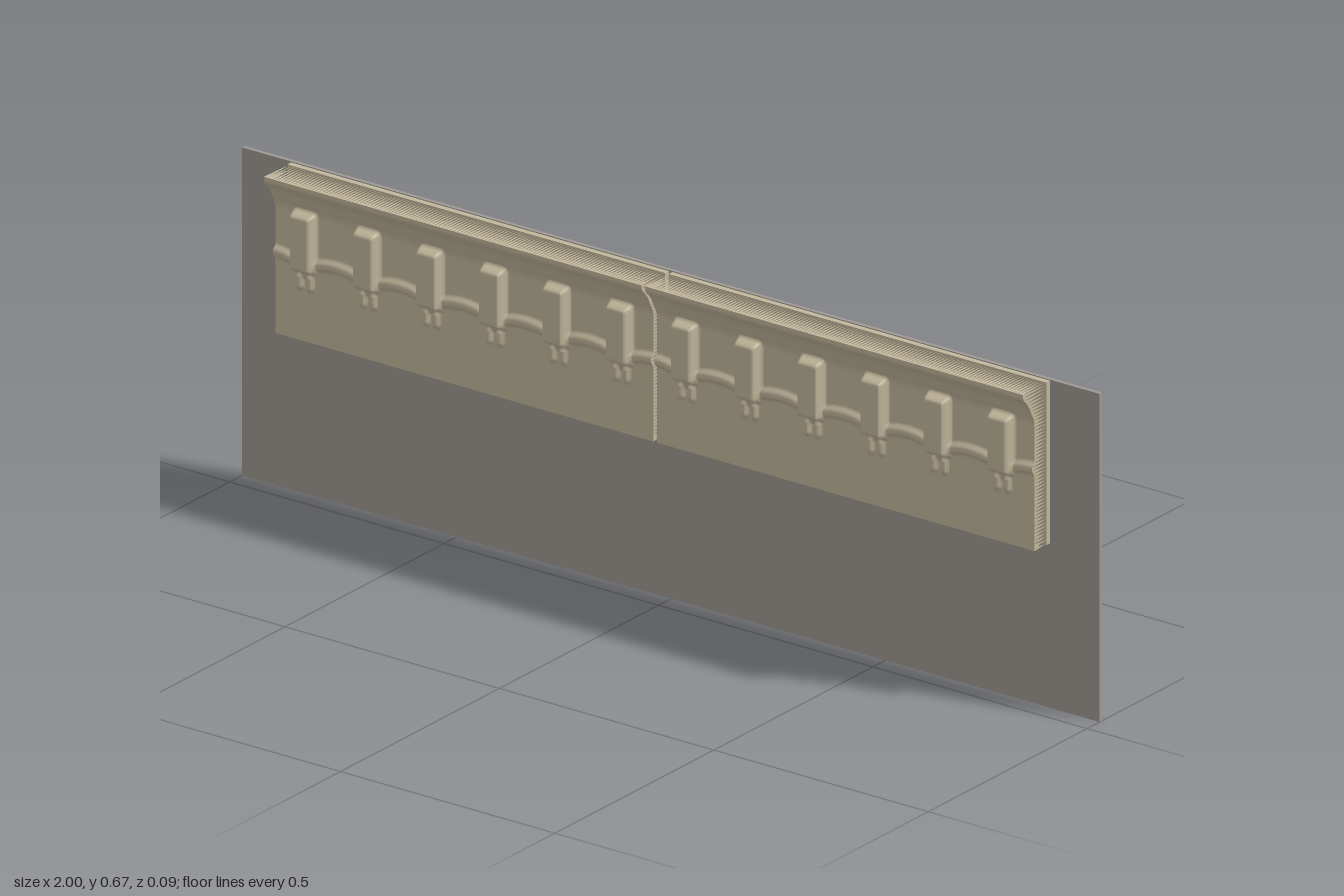
import * as THREE from 'three';

const TOP = 0.665, BOTTOM = 0.335, INNER = 0.004, OUTER = 0.885;
const PITCH = OUTER / 6; // one bracket per bay, six bays per panel

const smooth = (a, b, v) => THREE.MathUtils.smoothstep(v, a, b);
const band = (a, b, c, d, v) => smooth(a, b, v) * (1 - smooth(c, d, v));

// Crown moulding profile: [y, z]
const crown = [[0.3, 0.01], [0.595, 0.01], [0.605, 0.013], [0.615, 0.019], [0.63, 0.026],
  [0.642, 0.034], [0.65, 0.043], [0.656, 0.047], [0.7, 0.048]];

function crownDepth(y) {
  const i = Math.max(1, crown.findIndex(p => p[0] >= y));
  const [y0, z0] = crown[i - 1], [y1, z1] = crown[i];
  return z0 + (z1 - z0) * (y - y0) / (y1 - y0);
}

// Depth of the carved relief at any point
function relief(x, y) {
  const bay = ((x % PITCH) + PITCH) % PITCH - PITCH / 2; // distance from bracket centre
  const a = Math.abs(bay);
  // scalloped moulding running between the brackets
  const arch = 0.474 + 0.03 * Math.sqrt(Math.max(0, 1 - ((PITCH / 2 - a) / (PITCH / 2)) ** 2));
  const ribbon = 0.008 * band(arch - 0.016, arch - 0.006, arch + 0.002, arch + 0.014, y);
  // square bracket
  const block = 0.022 * (1 - smooth(0.021, 0.029, a)) * band(0.472, 0.487, 0.59, 0.606, y);
  // pair of small drops below it
  const drops = 0.007 * band(0.004, 0.008, 0.016, 0.021, a) * band(0.436, 0.446, 0.468, 0.476, y);
  return Math.max(crownDepth(y), 0.01 + Math.max(ribbon, block, drops));
}

function reliefFace() {
  const g = new THREE.PlaneGeometry(OUTER - INNER, TOP - BOTTOM, 264, 96);
  g.translate((OUTER + INNER) / 2, (TOP + BOTTOM) / 2, 0);
  const p = g.attributes.position;
  for (let i = 0; i < p.count; i++) p.setZ(i, relief(p.getX(i), p.getY(i)));
  g.computeVertexNormals();
  return g;
}

// Fringe of pointed teeth going back from the relief's four edges
function fringe() {
  const v = [];
  const edge = (x0, y0, x1, y1, n) => {
    const at = t => [x0 + (x1 - x0) * t, y0 + (y1 - y0) * t];
    for (let i = 0; i < n; i++) {
      const a = at(i / n), b = at((i + 1) / n), m = at((i + 0.5) / n);
      v.push(...a, relief(...a), ...m, -0.024, ...b, relief(...b));
    }
  };
  edge(INNER, BOTTOM, OUTER, BOTTOM, 120);
  edge(OUTER, BOTTOM, OUTER, TOP, 46);
  edge(OUTER, TOP, INNER, TOP, 120);
  edge(INNER, TOP, INNER, BOTTOM, 46);
  const g = new THREE.BufferGeometry();
  g.setAttribute('position', new THREE.Float32BufferAttribute(v, 3));
  g.computeVertexNormals();
  return g;
}

export function createModel() {
  const stone = new THREE.MeshStandardMaterial({ color: 0xc2b79c, side: THREE.DoubleSide });
  stone.name = 'warm stone';
  const grey = new THREE.MeshStandardMaterial({ color: 0x9e9993 });
  grey.name = 'wall grey';

  const model = new THREE.Group();
  model.name = 'corniceWall';
  const add = (parent, name, geometry, material) => {
    const mesh = new THREE.Mesh(geometry, material);
    mesh.name = name;
    parent.add(mesh);
    return mesh;
  };

  // Wall slab
  add(model, 'wall', new THREE.BoxGeometry(2, 0.667, 0.008), grey).position.set(0, 0.3335, -0.043);

  // Two cornice panels side by side
  const face = reliefFace(), teeth = fringe();
  const width = OUTER - INNER;
  const backing = new THREE.BoxGeometry(width, TOP - BOTTOM, 0.012);
  for (const [name, offset] of [['leftPanel', 0], ['rightPanel', -(OUTER + INNER)]]) {
    const panel = new THREE.Group();
    panel.name = name;
    panel.position.x = offset;
    add(panel, 'reliefFace', face, stone);
    add(panel, 'edgeTeeth', teeth, stone);
    add(panel, 'backing', backing, stone).position.set((OUTER + INNER) / 2, (TOP + BOTTOM) / 2, -0.033);
    model.add(panel);
  }
  return model;
}
